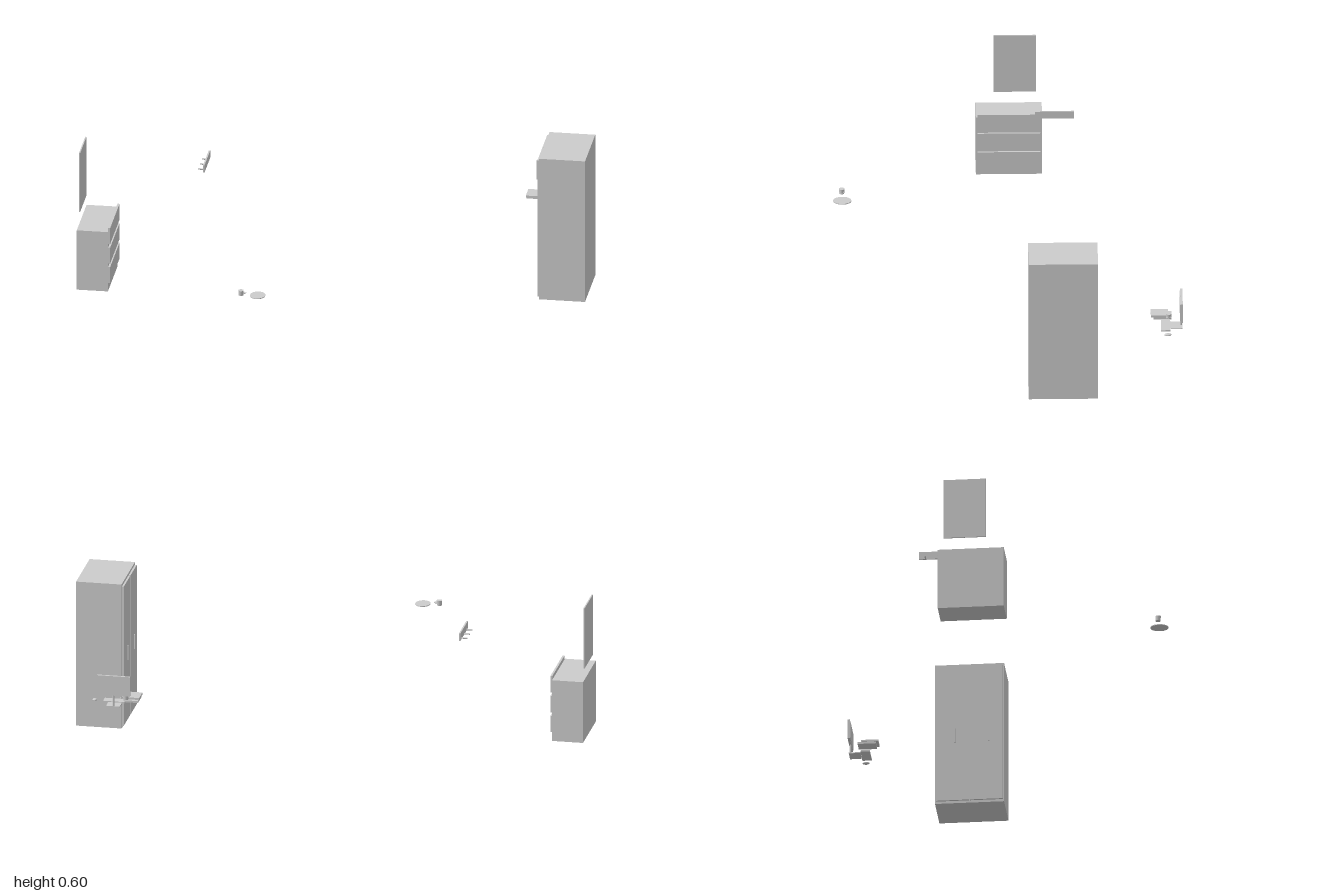
import * as THREE from 'three';

const material = new THREE.MeshStandardMaterial({ color: 0xcccccc });

function add(parent, name, geometry, x = 0, y = 0, z = 0) {
  const mesh = new THREE.Mesh(geometry, material);
  mesh.name = name;
  mesh.position.set(x, y, z);
  parent.add(mesh);
  return mesh;
}

// Box given by its lower and upper limits on each axis
function box(parent, name, [x0, x1], [y0, y1], [z0, z1]) {
  return add(parent, name, new THREE.BoxGeometry(x1 - x0, y1 - y0, z1 - z0),
    (x0 + x1) / 2, (y0 + y1) / 2, (z0 + z1) / 2);
}

function group(parent, name) {
  const g = new THREE.Group();
  g.name = name;
  parent.add(g);
  return g;
}

// Mug with a flat-lying ring handle on its +x side
function mug(parent, x, y, z) {
  const g = group(parent, 'mug');
  add(g, 'mugBody', new THREE.CylinderGeometry(0.011, 0.01, 0.02, 16), x, y + 0.01, z);
  const handle = add(g, 'mugHandle', new THREE.TorusGeometry(0.007, 0.0015, 8, 16), x + 0.013, y + 0.01, z);
  handle.rotation.x = Math.PI / 2;
}

export function createModel() {
  const room = new THREE.Group();
  room.name = 'roomFurnishings';

  // Wardrobe with two doors facing -x
  const wardrobe = group(room, 'wardrobe');
  box(wardrobe, 'wardrobeBody', [0.815, 0.997], [0, 0.6], [-0.342, -0.069]);
  for (const z of [-0.272, -0.139]) {
    box(wardrobe, 'wardrobeDoor', [0.807, 0.815], [0.01, 0.59], [z - 0.065, z + 0.065]);
    box(wardrobe, 'doorHandle', [0.803, 0.807], [0.26, 0.32], [z + 0.007, z + 0.013]);
  }

  // Dresser with three drawer fronts facing +x
  const dresser = group(room, 'dresser');
  box(dresser, 'dresserBody', [-0.998, -0.874], [0, 0.253], [-0.157, 0.104]);
  for (let i = 0; i < 3; i++) {
    const y = 0.034 + i * 0.083;
    box(dresser, 'drawerFront', [-0.874, -0.866], [y, y + 0.068], [-0.151, 0.098]);
  }

  // Mirror panel above the dresser
  box(room, 'mirror', [-1, -0.995], [0.302, 0.553], [-0.134, 0.033]);

  // Wall rack with three pegs
  const rack = group(room, 'coatRack');
  box(rack, 'rackBoard', [-0.53, -0.524], [0.434, 0.465], [-0.276, -0.122]);
  for (const z of [-0.25, -0.199, -0.148]) {
    const peg = add(rack, 'rackPeg', new THREE.CylinderGeometry(0.003, 0.003, 0.025, 10), -0.541, 0.438, z);
    peg.rotation.z = Math.PI / 2;
  }

  // Oval plate and mug
  const plate = add(room, 'plate', new THREE.CylinderGeometry(0.03, 0.03, 0.003, 24), -0.198, 0.251, 0.642);
  plate.scale.z = 1.2;
  mug(room, -0.264, 0.249, 0.643);

  // Monitor on its stand
  const monitor = group(room, 'monitor');
  box(monitor, 'screen', [0.715, 0.848], [0.255, 0.336], [-0.678, -0.669]);
  box(monitor, 'screenPanel', [0.72, 0.843], [0.26, 0.331], [-0.669, -0.667]);
  add(monitor, 'monitorNeck', new THREE.CylinderGeometry(0.004, 0.004, 0.048, 12), 0.782, 0.233, -0.672);
  box(monitor, 'monitorBase', [0.756, 0.811], [0.207, 0.211], [-0.677, -0.631]);

  // Keyboard, mouse, stacked books and a second mug
  box(room, 'keyboard', [0.746, 0.832], [0.208, 0.214], [-0.63, -0.593]);
  const mouse = add(room, 'mouse', new THREE.SphereGeometry(1, 16, 10), 0.867, 0.213, -0.619);
  mouse.scale.set(0.009, 0.005, 0.014);
  const books = group(room, 'books');
  box(books, 'lowerBook', [0.691, 0.745], [0.216, 0.224], [-0.636, -0.564]);
  box(books, 'upperBook', [0.689, 0.743], [0.224, 0.232], [-0.622, -0.554]);
  mug(room, 0.742, 0.22, -0.624);

  return room;
}
